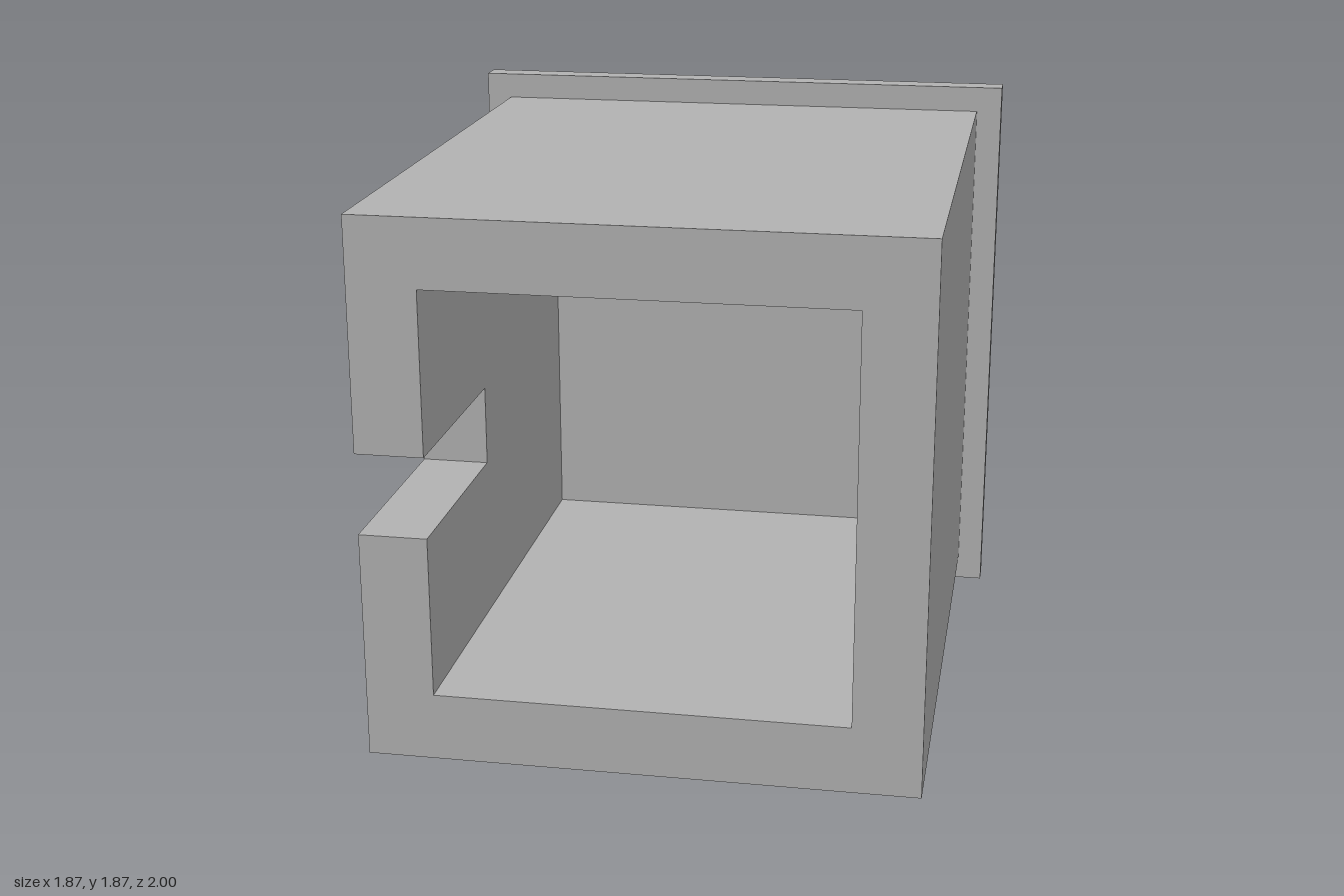
import * as THREE from 'three';

// Everything sits on one module: 23.5 units of depth span 2 world units
const U = 2 / 23.5;
const FRONT = 1, BACK = -1;
const MID_Y = 11 * U;      // centre height of the square flange
const OUT = 10 * U;        // half width of the body
const IN = 7.5 * U;        // half width of the cavity
const SLOT = 1.5 * U;      // half height of the side slot
const SLOT_END = FRONT - 8 * U;
const CAVITY_END = FRONT - 20 * U;
const FLANGE_Z = BACK + U;

const square = (h) => [[-h, -h], [h, -h], [h, h], [-h, h]].map(([x, y]) => new THREE.Vector2(x, y));

export function createModel() {
  const grey = new THREE.MeshStandardMaterial({ color: 0xb2b2b2 });
  grey.name = 'plain grey';
  const model = new THREE.Group();
  model.name = 'slottedBox';

  // Extrudes a cross-section along z between two depths
  const addSection = (name, shape, z0, z1) => {
    const geometry = new THREE.ExtrudeGeometry(shape, { depth: z1 - z0, bevelEnabled: false });
    const mesh = new THREE.Mesh(geometry, grey);
    mesh.name = name;
    mesh.position.set(0, MID_Y, z0);
    model.add(mesh);
  };

  // Front walls: a C section, open at the slot on the -x side
  const cSection = new THREE.Shape([
    [-OUT, -OUT], [OUT, -OUT], [OUT, OUT], [-OUT, OUT], [-OUT, SLOT], [-IN, SLOT],
    [-IN, IN], [IN, IN], [IN, -IN], [-IN, -IN], [-IN, -SLOT], [-OUT, -SLOT],
  ].map(([x, y]) => new THREE.Vector2(x, y)));
  addSection('slottedWalls', cSection, SLOT_END, FRONT);

  // Closed square tube behind the slot
  const ring = new THREE.Shape(square(OUT));
  ring.holes.push(new THREE.Path(square(IN).reverse()));
  addSection('tubeWalls', ring, CAVITY_END, SLOT_END);

  // Solid end of the cavity and the wider flange behind it
  addSection('backWall', new THREE.Shape(square(OUT)), FLANGE_Z, CAVITY_END);
  addSection('flange', new THREE.Shape(square(11 * U)), BACK, FLANGE_Z);

  return model;
}
